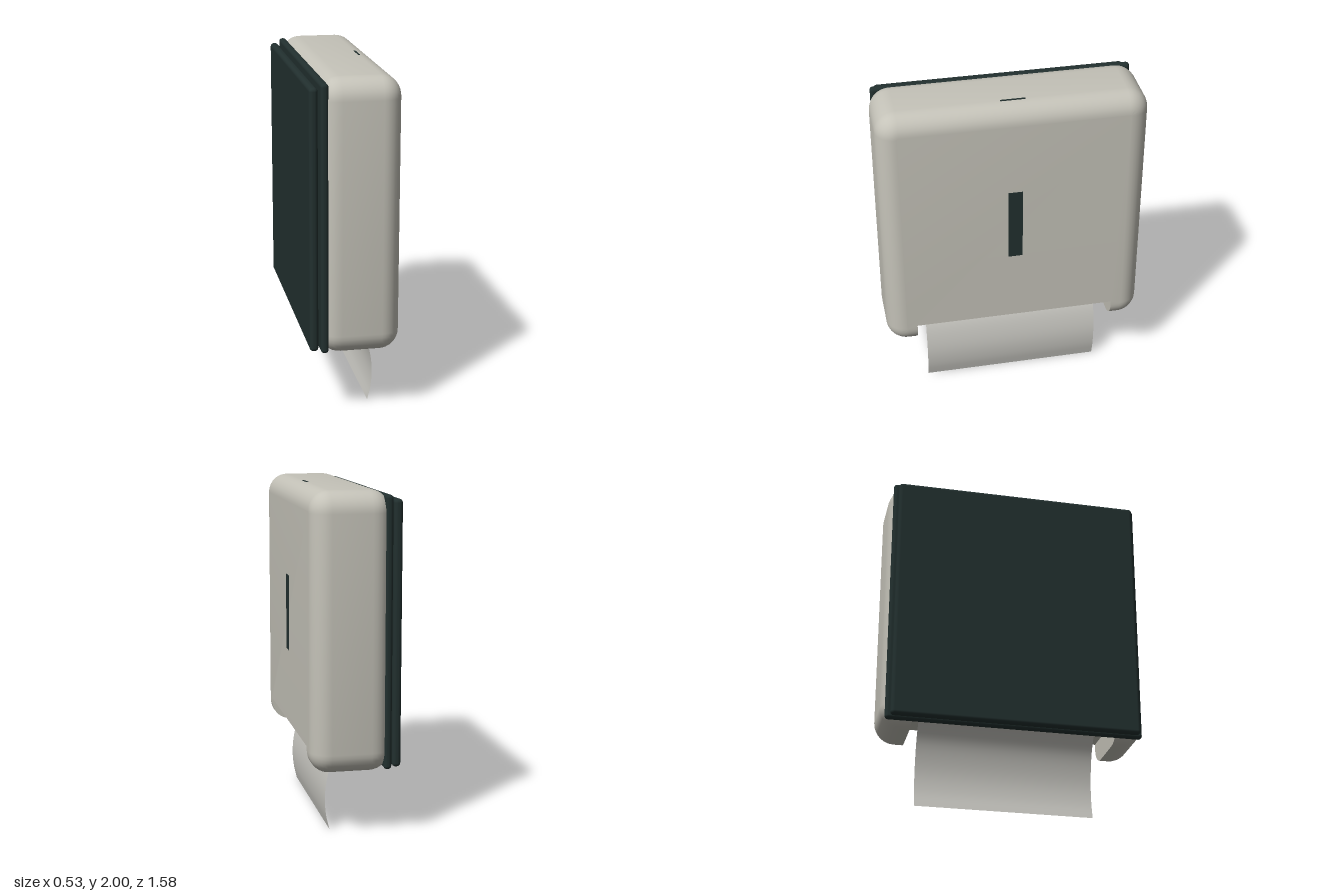
import * as THREE from 'three';
import { toCreasedNormals } from 'three/addons/utils/BufferGeometryUtils.js';
import { RoundedBoxGeometry } from 'three/addons/geometries/RoundedBoxGeometry.js';

const HALF_W = 0.79, TOP = 2.0, BOTTOM = 0.39, CORNER = 0.125;
const NOTCH_W = 0.61, NOTCH_TOP = 0.53;

// Cover outline in (u = -z, y), counter-clockwise seen from the front face
function coverOutline(inset) {
  const w = HALF_W - inset, lo = BOTTOM + inset, hi = TOP - inset, r = CORNER - inset;
  const pts = [];
  const arc = (cx, cy, start) => {
    for (let i = 0; i <= 8; i++) {
      const a = start + (i / 8) * Math.PI / 2;
      pts.push(new THREE.Vector2(cx + r * Math.cos(a), cy + r * Math.sin(a)));
    }
  };
  pts.push(new THREE.Vector2(NOTCH_W, lo));
  arc(w - r, lo + r, -Math.PI / 2);
  arc(w - r, hi - r, 0);
  arc(-w + r, hi - r, Math.PI / 2);
  arc(-w + r, lo + r, Math.PI);
  pts.push(new THREE.Vector2(-NOTCH_W, lo));
  pts.push(new THREE.Vector2(-NOTCH_W, NOTCH_TOP));
  pts.push(new THREE.Vector2(NOTCH_W, NOTCH_TOP));
  return pts;
}

// Loft the outline from the wall side to the rounded front face
function coverGeometry() {
  const sections = [[-0.17, 0.035], [-0.155, 0.022], [-0.135, 0.01], [-0.11, 0.003], [-0.085, 0]];
  const r = 0.115;
  for (let i = 0; i <= 9; i++) {
    const a = (i / 9) * Math.PI / 2;
    sections.push([0.26 - r + r * Math.sin(a), r * (1 - Math.cos(a))]);
  }
  const rings = sections.map(([, inset]) => coverOutline(inset));
  const n = rings[0].length, pos = [], idx = [];
  rings.forEach((ring, i) => ring.forEach(p => pos.push(sections[i][0], p.y, -p.x)));
  for (let i = 0; i < rings.length - 1; i++) {
    for (let j = 0; j < n; j++) {
      const a = i * n + j, b = i * n + (j + 1) % n;
      idx.push(a, b, b + n, a, b + n, a + n);
    }
  }
  const last = rings.length - 1;
  for (const [a, b, c] of THREE.ShapeUtils.triangulateShape(rings[last], []))
    idx.push(last * n + a, last * n + b, last * n + c);
  for (const [a, b, c] of THREE.ShapeUtils.triangulateShape(rings[0], []))
    idx.push(a, c, b);
  const g = new THREE.BufferGeometry();
  g.setAttribute('position', new THREE.Float32BufferAttribute(pos, 3));
  g.setIndex(idx);
  return toCreasedNormals(g, 0.6);
}

// Curved sheet hanging out of the slot
function towelGeometry() {
  const curve = new THREE.CatmullRomCurve3([
    [0.02, 0.53], [0.07, 0.46], [0.105, 0.39], [0.13, 0.29], [0.14, 0.19], [0.133, 0.09], [0.113, 0],
  ].map(([x, y]) => new THREE.Vector3(x, y, 0)));
  const steps = 20;
  const g = new THREE.PlaneGeometry(1.08, 1, 1, steps);
  const p = g.attributes.position;
  for (let i = 0; i < p.count; i++) {
    const c = curve.getPoint(0.5 - p.getY(i));
    p.setXYZ(i, c.x, c.y, -p.getX(i));
  }
  g.computeVertexNormals();
  return g;
}

export function createModel() {
  const group = new THREE.Group();
  const material = (name, color, extra = {}) => {
    const m = new THREE.MeshStandardMaterial({ color, ...extra });
    m.name = name;
    return m;
  };
  const shell = material('warm grey plastic', 0xc5c3b9);
  const dark = material('dark green grey plastic', 0x22302f);
  const paper = material('paper', 0xc9c8c2, { side: THREE.DoubleSide });

  const add = (name, geometry, mat, x = 0, y = 0, z = 0) => {
    const mesh = new THREE.Mesh(geometry, mat);
    mesh.name = name;
    mesh.position.set(x, y, z);
    group.add(mesh);
  };

  add('cover', coverGeometry(), shell);
  add('paperTowel', towelGeometry(), paper);

  // Wall plates with rounded rims
  add('innerBackPlate', new RoundedBoxGeometry(0.045, 1.565, 1.54, 4, 0.02), dark, -0.1825, 1.1925, 0);
  add('outerBackPlate', new RoundedBoxGeometry(0.05, 1.535, 1.49, 4, 0.022), dark, -0.24, 1.1825, 0);

  // Level window on the front and lock slot on the top
  add('levelWindow', new THREE.BoxGeometry(0.006, 0.46, 0.085), dark, 0.259, 1.21, 0);
  add('lockSlot', new THREE.BoxGeometry(0.012, 0.006, 0.145), dark, 0.15, 1.9985, -0.003);
  return group;
}
